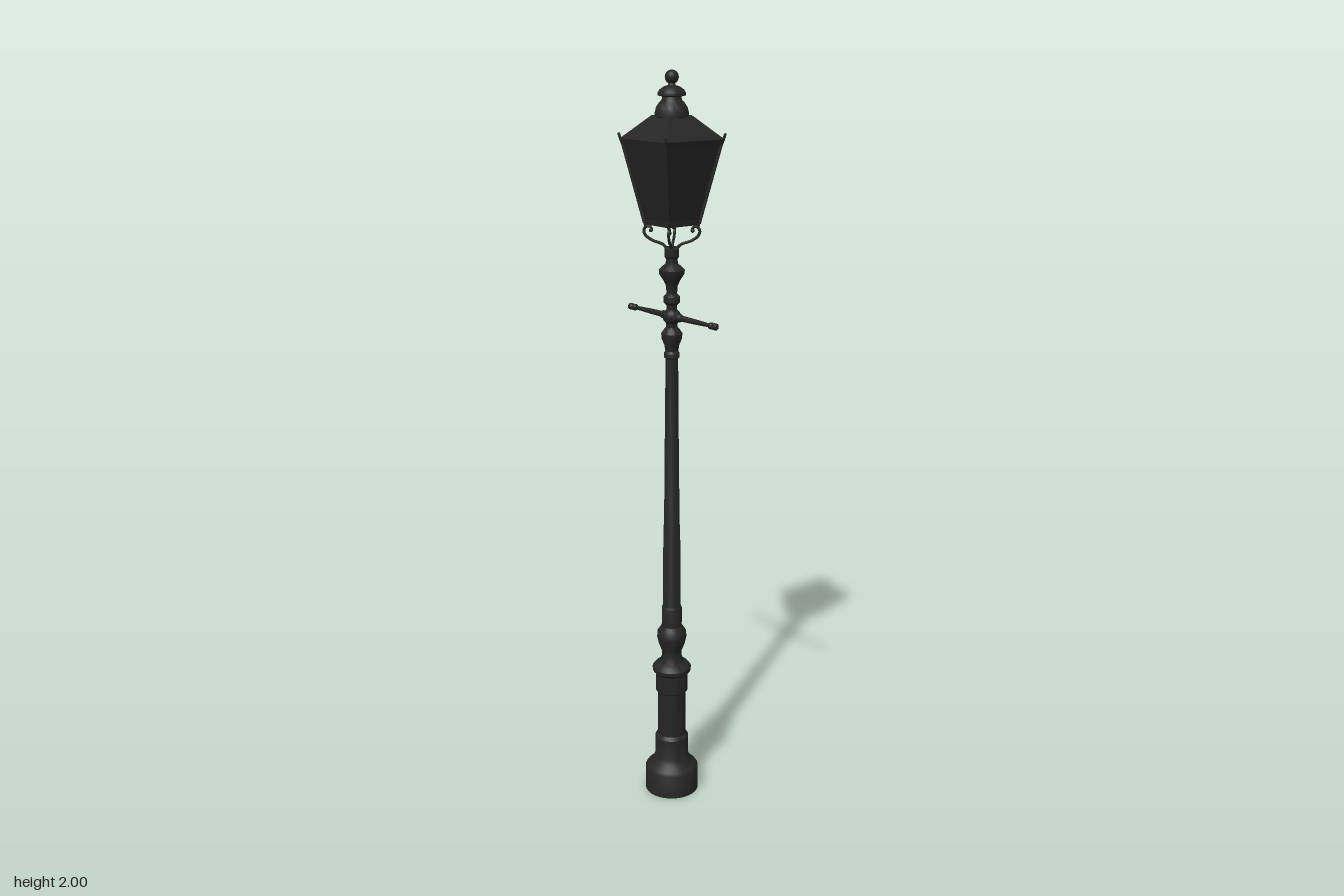
import * as THREE from 'three';
import { toCreasedNormals } from 'three/addons/utils/BufferGeometryUtils.js';

const iron = new THREE.MeshStandardMaterial({ color: 0x262626 });
iron.name = 'black iron';
const pane = new THREE.MeshStandardMaterial({ color: 0x242424 });
pane.name = 'dark glass';

const V = (x, y, z) => new THREE.Vector3(x, y, z);

function add(parent, name, geometry, material = iron) {
  const mesh = new THREE.Mesh(geometry, material);
  mesh.name = name;
  parent.add(mesh);
  return mesh;
}

// Turned part from [radius, height] pairs, bottom to top
function turned(points, segments = 24) {
  const profile = points.map(([r, y]) => new THREE.Vector2(r, y));
  return toCreasedNormals(new THREE.LatheGeometry(profile, segments), 0.6);
}

// Square frustum given by half widths and heights
function frustum(bottom, top, y0, y1) {
  const g = new THREE.CylinderGeometry(top * Math.SQRT2, bottom * Math.SQRT2, y1 - y0, 4);
  g.rotateY(Math.PI / 4).translate(0, (y0 + y1) / 2, 0);
  return toCreasedNormals(g, 0.3);
}

function tube(points, radius, segments = 24) {
  return new THREE.TubeGeometry(new THREE.CatmullRomCurve3(points), segments, radius, 8);
}

export function createModel() {
  const lamp = new THREE.Group();
  lamp.name = 'streetLamp';

  // Pedestal
  add(lamp, 'pedestal', turned([
    [0, 0], [0.075, 0], [0.075, 0.068], [0.07, 0.076], [0.062, 0.08], [0.054, 0.092],
    [0.047, 0.105], [0.047, 0.165], [0.04, 0.175], [0.039, 0.305], [0.045, 0.31],
    [0.045, 0.362], [0.053, 0.37], [0.054, 0.38], [0.047, 0.39], [0.034, 0.397],
    [0.027, 0.415], [0.028, 0.43], [0.036, 0.45], [0.041, 0.472], [0.04, 0.488],
    [0.033, 0.498], [0.029, 0.505], [0, 0.505],
  ], 32));

  // Stepped shaft
  add(lamp, 'shaft', turned([
    [0.028, 0.5], [0.028, 0.56], [0.025, 0.565], [0.023, 0.8], [0.021, 0.805],
    [0.0195, 1.045], [0.018, 1.05], [0.017, 1.275],
  ], 16));

  // Ornamental neck
  add(lamp, 'neck', turned([
    [0.017, 1.268], [0.021, 1.272], [0.021, 1.282], [0.017, 1.288], [0.02, 1.305],
    [0.027, 1.322], [0.028, 1.335], [0.021, 1.345], [0.015, 1.352], [0.015, 1.362],
    [0.022, 1.37], [0.024, 1.38], [0.022, 1.39], [0.014, 1.398], [0.014, 1.41],
    [0.022, 1.418], [0.022, 1.432], [0.014, 1.44], [0.015, 1.46], [0.022, 1.475],
    [0.033, 1.492], [0.034, 1.502], [0.026, 1.51], [0.016, 1.518], [0.015, 1.53],
    [0.019, 1.536], [0.019, 1.556], [0.012, 1.562], [0, 1.564],
  ]));

  // Ladder rest with knobbed ends
  const arm = turned([
    [0.011, 0.015], [0.011, 0.035], [0.008, 0.04], [0.007, 0.095], [0.005, 0.152],
    [0.009, 0.156], [0.009, 0.161], [0.005, 0.165], [0.009, 0.17], [0.009, 0.178],
    [0.005, 0.182], [0, 0.183],
  ], 12);
  for (const side of [-1, 1]) {
    const rest = add(lamp, side > 0 ? 'leftLadderRest' : 'rightLadderRest', arm);
    rest.position.y = 1.38;
    rest.rotation.z = -side * Math.PI / 2;
  }

  // Lantern body: panes, lower and upper rims
  const lantern = new THREE.Group();
  lantern.name = 'lantern';
  lamp.add(lantern);
  add(lantern, 'panes', frustum(0.048, 0.087, 1.625, 1.826), pane);
  add(lantern, 'lowerRim', frustum(0.051, 0.053, 1.618, 1.63));
  add(lantern, 'upperRim', frustum(0.091, 0.095, 1.818, 1.832));

  // Corner posts, tips and curled brackets on the four diagonals
  for (const sx of [-1, 1]) for (const sz of [-1, 1]) {
    const P = (d, y) => V(sx * d, y, sz * d);
    add(lantern, 'cornerPost', tube([P(0.05, 1.622), P(0.09, 1.828)], 0.004, 1));
    add(lantern, 'cornerTip', tube([P(0.087, 1.824), P(0.092, 1.832), P(0.095, 1.844)], 0.0035, 6));
    add(lantern, 'cornerTipEnd', new THREE.SphereGeometry(0.0035, 8, 6))
      .position.copy(P(0.095, 1.844));
    add(lantern, 'bracket', tube([
      P(0.006, 1.55), P(0.016, 1.567), P(0.035, 1.577), P(0.048, 1.59),
      P(0.051, 1.603), P(0.046, 1.613), P(0.038, 1.611), P(0.037, 1.603),
    ], 0.0038));
    add(lantern, 'bracketScroll', new THREE.SphereGeometry(0.0055, 8, 6))
      .position.copy(P(0.038, 1.603));
    add(lantern, 'bracketFoot', tube([P(0.047, 1.61), P(0.049, 1.622)], 0.004, 1));
  }

  // Roof
  add(lantern, 'roof', frustum(0.094, 0.036, 1.832, 1.89));

  // Vent cap and ball finial
  add(lantern, 'ventCap', turned([
    [0.036, 1.88], [0.043, 1.887], [0.043, 1.897], [0.04, 1.909], [0.033, 1.92],
    [0.026, 1.927], [0.024, 1.935], [0.036, 1.938], [0.036, 1.944], [0.031, 1.952],
    [0.021, 1.959], [0.01, 1.963], [0.007, 1.97], [0, 1.972],
  ]));
  add(lantern, 'finial', new THREE.SphereGeometry(0.0175, 20, 14)).position.y = 1.9825;

  return lamp;
}
